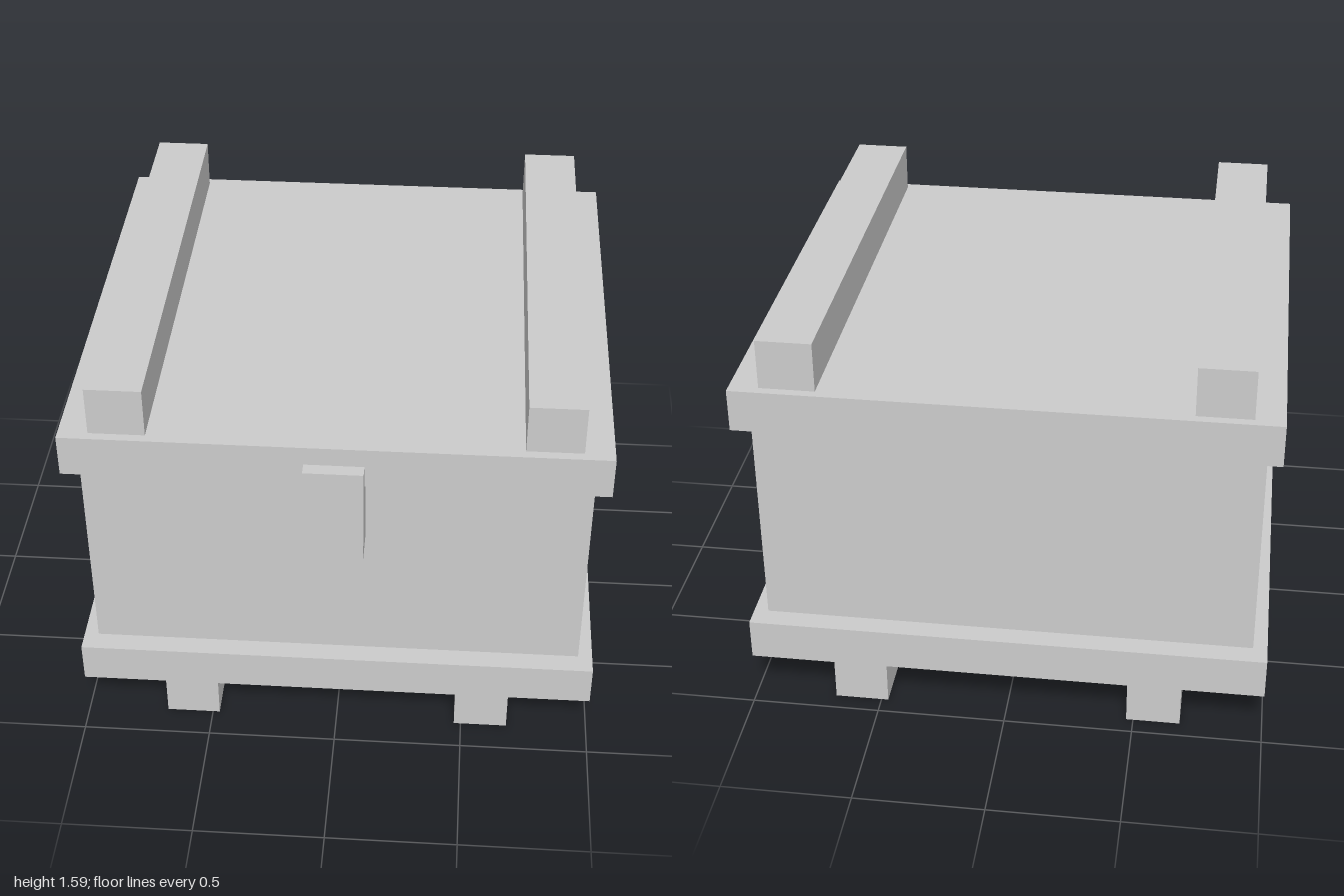
import * as THREE from 'three';

const material = new THREE.MeshStandardMaterial({ color: 0xcccccc, flatShading: true });

// Box given by its extents along each axis
function block(name, [x0, x1], [y0, y1], [z0, z1]) {
  const mesh = new THREE.Mesh(new THREE.BoxGeometry(x1 - x0, y1 - y0, z1 - z0), material);
  mesh.position.set((x0 + x1) / 2, (y0 + y1) / 2, (z0 + z1) / 2);
  mesh.name = name;
  return mesh;
}

export function createModel() {
  const crate = new THREE.Group();
  crate.name = 'crate';

  const slabDepth = [-0.965, 0.915];
  const railDepth = [-0.93, 0.88];

  // Main box with an overhanging base and lid
  crate.add(
    block('body', [-0.945, 0.945], [0.36, 1.235], [-0.882, 0.835]),
    block('base', [-1, 1], [0.197, 0.36], slabDepth),
    block('lid', [-1, 1], [1.235, 1.4], slabDepth),
    block('latch', [-0.11, 0.11], [0.93, 1.325], [0.835, 0.965])
  );

  // Paired runners below and rails on the lid
  for (const [side, s] of [['left', 1], ['right', -1]]) {
    const span = (a, b) => (s > 0 ? [a, b] : [-b, -a]);
    crate.add(
      block(side + 'Runner', span(0.473, 0.682), [0, 0.197], railDepth),
      block(side + 'LidRail', span(0.682, 0.89), [1.4, 1.593], railDepth)
    );
  }

  return crate;
}
